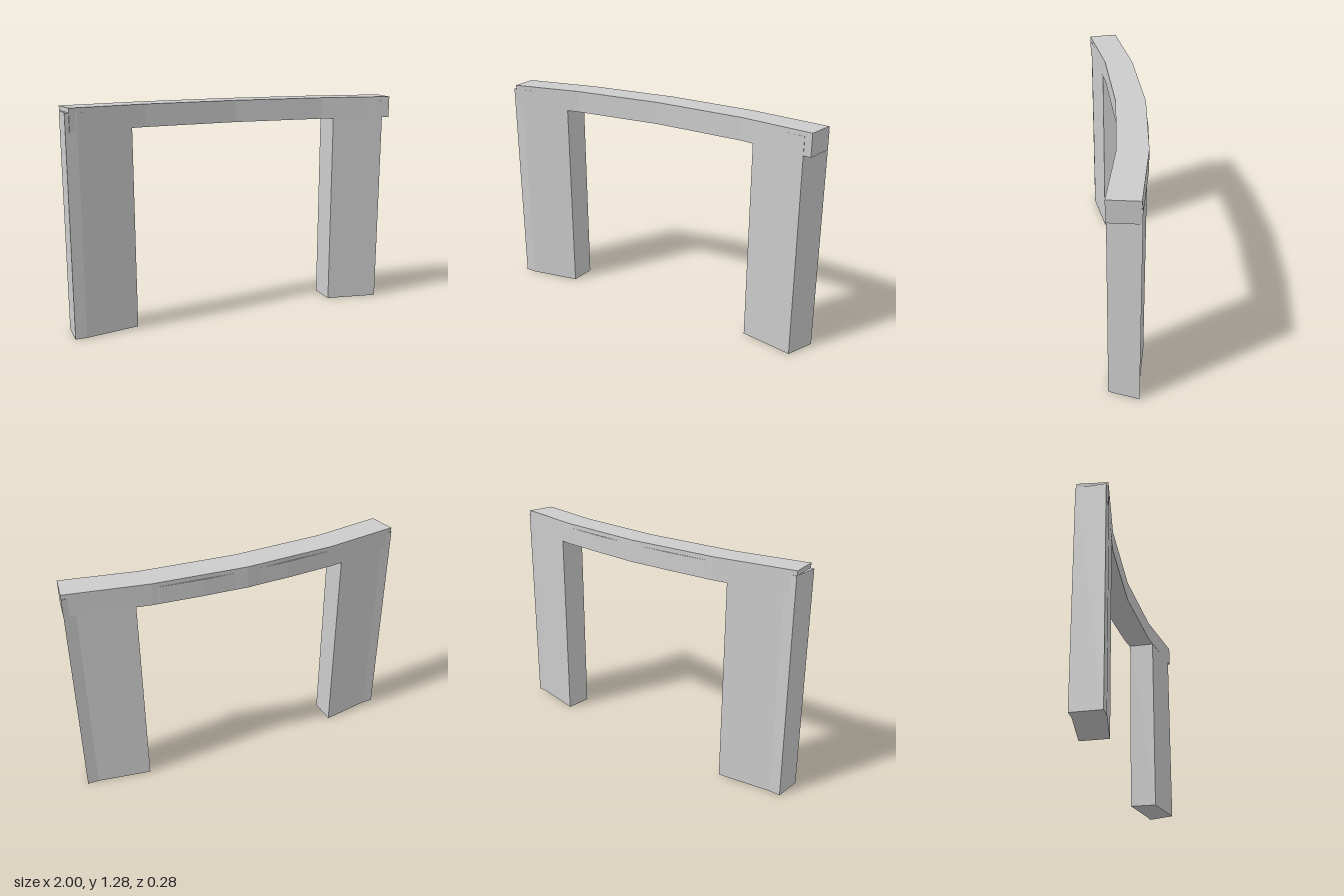
import * as THREE from 'three';

const material = new THREE.MeshStandardMaterial({ color: 0xcccccc, flatShading: true });

// Upright prism from a plan outline of [x, z] points
function prism(name, plan, bottom, top) {
  const shape = new THREE.Shape(plan.map(([x, z]) => new THREE.Vector2(x, -z)));
  const geometry = new THREE.ExtrudeGeometry(shape, { depth: top - bottom, bevelEnabled: false });
  geometry.rotateX(-Math.PI / 2).translate(0, bottom, 0);
  const mesh = new THREE.Mesh(geometry, material);
  mesh.name = name;
  return mesh;
}

// Complete a half outline (x >= 0, from the middle outwards) across x = 0
function mirrored(half) {
  const left = half.slice(1).reverse().map(([x, z]) => [-x, z]);
  return [...left, ...half];
}

export function createModel() {
  const group = new THREE.Group();
  group.name = 'curvedGateway';
  const springY = 1.155, wallTop = 1.255, top = 1.28;

  // Legs: the right-hand one has a slanted end, the other a square end
  const back = [[1, -0.035], [0.935, -0.036], [0.627, -0.089]];
  const leftLeg = [[0.627, 0.071], [0.935, 0.13], ...back];
  const rightLeg = [[0.627, 0.071], [0.935, 0.13], [1, 0.13], ...back].map(([x, z]) => [-x, z]);
  group.add(prism('leftLeg', leftLeg, 0, wallTop));
  group.add(prism('rightLeg', rightLeg, 0, wallTop));

  // Curved wall joining the legs behind the beam
  const wallBack = mirrored([[0, -0.138], [0.25, -0.13], [0.5, -0.111], [0.627, -0.089]]);
  const wallFront = mirrored([[0, 0.025], [0.54, 0.053], [0.627, 0.068]]);
  group.add(prism('header', [...wallBack, ...wallFront.reverse()], springY, wallTop));

  // Faceted beam across the top
  const beamBack = mirrored([[0, -0.14], [0.54, -0.107], [1, -0.03]]);
  const beamFront = mirrored([[0, 0.028], [0.55, 0.06], [0.978, 0.136]]);
  group.add(prism('beam', [...beamBack, ...beamFront.reverse()], springY - 0.001, top));

  return group;
}
